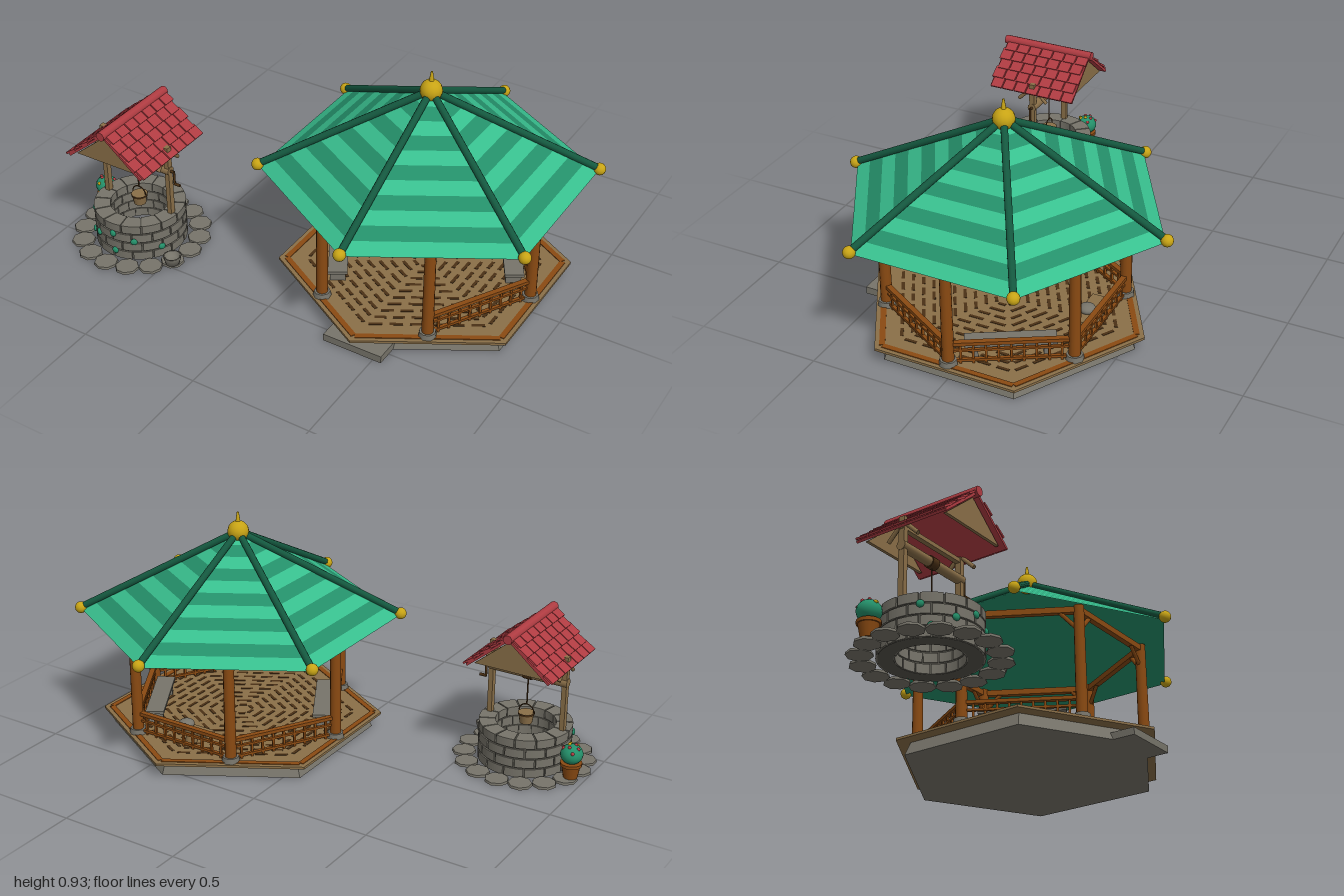
import * as THREE from 'three';

const mat = (name, color, opts = {}) => {
  const m = new THREE.MeshStandardMaterial({ color, ...opts });
  m.name = name;
  return m;
};

export function createModel() {
  const M = {
    stone: mat('stone grey', 0x77746a),
    mortar: mat('dark grey', 0x55534b),
    wood: mat('post brown', 0x8a4a12),
    tan: mat('plank tan', 0x8a6f48),
    dark: mat('dark brown', 0x4a3015),
    light: mat('light green', 0x38bf8e),
    green: mat('mid green', 0x24906a, { side: THREE.DoubleSide }),
    ridge: mat('deep green', 0x14583f),
    gold: mat('gold', 0xc8a415),
    red: mat('tile red', 0xb03c42),
  };
  const V = (x, y, z) => new THREE.Vector3(x, y, z);
  const add = (parent, name, geo, m, x = 0, y = 0, z = 0) => {
    const mesh = new THREE.Mesh(geo, m);
    mesh.name = name;
    mesh.position.set(x, y, z);
    parent.add(mesh);
    return mesh;
  };
  const group = (parent, name, x = 0, y = 0, z = 0) => {
    const g = new THREE.Group();
    g.name = name;
    g.position.set(x, y, z);
    parent.add(g);
    return g;
  };
  const box = (w, h, d) => new THREE.BoxGeometry(w, h, d);
  const cyl = (rt, rb, h, n = 16, open = false) => new THREE.CylinderGeometry(rt, rb, h, n, 1, open);
  const hex = (rt, rb, h, open) => {
    const g = cyl(rt, rb, h, 6, open).toNonIndexed();
    g.computeVertexNormals();
    return g;
  };
  const ball = (r) => new THREE.SphereGeometry(r, 16, 12);
  // round bar between two points
  const bar = (parent, name, a, b, r, m, n = 10) => {
    const d = b.clone().sub(a);
    const mesh = add(parent, name, cyl(r, r, d.length(), n), m);
    mesh.position.copy(a).add(b).multiplyScalar(0.5);
    mesh.quaternion.setFromUnitVectors(V(0, 1, 0), d.normalize());
    return mesh;
  };
  const root = new THREE.Group();
  root.name = 'gardenPavilionAndWell';

  // ---------- Pavilion ----------
  const pav = group(root, 'pavilion', 0.41);
  add(pav, 'foundation', hex(0.515, 0.54, 0.055), M.stone, 0, 0.0275);
  add(pav, 'deck', hex(0.577, 0.577, 0.01), M.tan, 0, 0.06);
  add(pav, 'frontStep', box(0.25, 0.03, 0.17), M.stone, 0, 0.015, 0.475);

  // one sector per side; local +z points outward, side 0 is the entrance
  for (let s = 0; s < 6; s++) {
    // floor inlays, parallel to the deck edges
    const floor = group(pav, 'floorSector');
    floor.rotation.y = (s + 0.5) * Math.PI / 3;
    add(floor, 'edgeBoard', box(0.54, 0.004, 0.022), M.wood, 0, 0.066, 0.472);
    for (let k = 1; k < 11; k++) {
      const a = 0.04 * k, len = 2 * a * Math.tan(Math.PI / 6);
      const n = Math.max(1, Math.round(len / 0.075));
      for (let i = 0; i < n; i++) {
        const x = ((i + 0.5) / n - 0.5) * len;
        add(floor, 'floorInlay', box(len / n * 0.66, 0.004, 0.013), M.dark, x, 0.0645, a);
      }
    }
    // bay between two posts
    const bay = group(pav, 'bay');
    bay.rotation.y = s * Math.PI / 3;
    const px = 0.23, pz = 0.398;
    add(bay, 'post', cyl(0.021, 0.023, 0.475, 12), M.wood, px, 0.3025, pz);
    add(bay, 'postFoot', cyl(0.032, 0.036, 0.022, 8), M.stone, px, 0.075, pz);
    add(bay, 'topBeam', box(0.46, 0.025, 0.024), M.wood, 0, 0.522, pz);
    for (const side of [-1, 1])
      bar(bay, 'brace', V(side * px, 0.435, pz), V(side * (px - 0.075), 0.515, pz), 0.009, M.wood, 6);
    if (s > 0) {
      add(bay, 'handRail', box(0.44, 0.014, 0.022), M.wood, 0, 0.153, pz);
      add(bay, 'middleRail', box(0.44, 0.009, 0.012), M.wood, 0, 0.122, pz);
      add(bay, 'bottomRail', box(0.44, 0.01, 0.014), M.wood, 0, 0.08, pz);
      for (let i = -4; i <= 4; i++)
        add(bay, 'baluster', box(0.009, 0.085, 0.009), M.wood, i * 0.046, 0.107, pz);
    }
    // benches on two opposite sides
    if (s === 2 || s === 5) {
      add(bay, 'benchSeat', box(0.34, 0.012, 0.075), M.stone, 0, 0.122, 0.34);
      for (const x of [-0.13, 0.13]) add(bay, 'benchLeg', box(0.02, 0.055, 0.06), M.stone, x, 0.09, 0.34);
    }
    // small pedestal seat at the back
    if (s === 3) {
      add(bay, 'pedestalSeat', box(0.19, 0.01, 0.06), M.tan, 0, 0.122, 0.35);
      add(bay, 'pedestal', cyl(0.014, 0.026, 0.055, 8), M.tan, 0, 0.092, 0.35);
      add(bay, 'stoneBowl', ball(0.032), M.stone, -0.02, 0.14, 0.35).scale.y = 0.6;
    }
    // hip ridges and corner balls
    const hip = group(pav, 'hip');
    hip.rotation.y = s * Math.PI / 3;
    bar(hip, 'hipRidge', V(0, 0.85, 0), V(0, 0.512, 0.65), 0.014, M.ridge);
    add(hip, 'cornerBall', ball(0.024), M.gold, 0, 0.51, 0.65);
  }

  // striped roof in bands, with a lining below
  const R = 0.645, eave = 0.5, rise = 0.34, bands = 11;
  for (let i = 0; i < bands; i++) {
    const r0 = R * (1 - i / bands), r1 = Math.max(R * (1 - (i + 1) / bands), 0.002), h = rise / bands;
    add(pav, 'roofBand', hex(r1, r0, h, true), i % 2 ? M.green : M.light, 0, eave + h * (i + 0.5));
  }
  add(pav, 'roofLining', hex(0.002, R - 0.001, rise - 0.008, true), M.green, 0, eave + rise / 2 - 0.005);
  add(pav, 'finialBall', ball(0.043), M.gold, 0, 0.85);
  add(pav, 'finialSpike', cyl(0.004, 0.013, 0.06, 10), M.gold, 0, 0.9);

  // ---------- Well ----------
  const well = group(root, 'well', -0.71, 0, 0.37);
  for (let i = 0; i < 16; i++) {
    const a = i * Math.PI / 8;
    add(well, 'flagstone', cyl(0.047, 0.049, 0.01, 8), M.stone, 0.24 * Math.sin(a), 0.005, 0.24 * Math.cos(a)).rotation.y = a;
  }
  const ring = [[0.125, 0], [0.18, 0], [0.18, 0.16], [0.125, 0.16], [0.125, 0]].map(p => new THREE.Vector2(...p));
  const core = new THREE.LatheGeometry(ring, 32).toNonIndexed();
  core.computeVertexNormals();
  add(well, 'wallCore', core, M.mortar);
  // staggered courses of curved bricks
  const nBrick = 14, step = Math.PI * 2 / nBrick, half = step / 2 - 0.018;
  const sector = new THREE.Shape();
  sector.absarc(0, 0, 0.186, -half, half, false);
  sector.absarc(0, 0, 0.12, half, -half, true);
  const brick = new THREE.ExtrudeGeometry(sector, { depth: 0.036, bevelEnabled: false, curveSegments: 4 });
  brick.rotateX(-Math.PI / 2);
  for (let k = 0; k < 4; k++)
    for (let i = 0; i < nBrick; i++)
      add(well, 'brick', brick, M.stone, 0, 0.001 + k * 0.042, 0).rotation.y = (i + (k % 2) / 2) * step;
  // leaves on the wall: angle from the front, height
  for (const [a, y] of [[-0.45, 0.08], [0.02, 0.115], [0.05, 0.035], [1.1, 0.05], [0.5, 0.09], [-1.1, 0.12], [-0.9, 0.04]]) {
    const leaf = add(well, 'leaf', ball(0.014), M.green, 0.188 * Math.sin(a), y, 0.188 * Math.cos(a));
    leaf.scale.z = 0.6;
    leaf.rotation.y = a;
  }

  // frame, windlass and crank
  for (const s of [-1, 1]) {
    add(well, 'wellPost', box(0.02, 0.32, 0.024), M.tan, s * 0.158, 0.315);
    for (const t of [-1, 1])
      bar(well, 'wellBrace', V(s * 0.158, 0.46, 0), V(s * 0.158, 0.395, t * 0.065), 0.008, M.tan, 6);
  }
  add(well, 'tieBeam', box(0.34, 0.016, 0.02), M.tan, 0, 0.435);
  bar(well, 'windlass', V(-0.17, 0.365, 0), V(0.17, 0.365, 0), 0.019, M.tan, 12);
  bar(well, 'ropeCoil', V(-0.018, 0.365, 0), V(0.018, 0.365, 0), 0.023, M.dark, 12);
  bar(well, 'crankAxle', V(0.17, 0.365, 0), V(0.185, 0.365, 0), 0.006, M.dark);
  bar(well, 'crankArm', V(0.185, 0.368, 0), V(0.185, 0.31, 0), 0.005, M.dark);
  bar(well, 'crankHandle', V(0.183, 0.31, 0), V(0.212, 0.31, 0), 0.006, M.dark);
  bar(well, 'rope', V(0, 0.36, 0), V(0, 0.23, 0), 0.003, M.dark, 6);
  add(well, 'pail', cyl(0.032, 0.025, 0.045), M.tan, 0, 0.175);
  add(well, 'pailBand', cyl(0.034, 0.033, 0.008), M.dark, 0, 0.193);
  add(well, 'pailHandle', new THREE.TorusGeometry(0.032, 0.0025, 6, 16, Math.PI), M.dark, 0, 0.2);

  // tiled roof: slab plus overlapping rows on each slope
  const roof = group(well, 'wellRoof', 0, 0.578, 0);
  for (const turn of [0, Math.PI]) {
    const side = group(roof, 'slopeSide');
    side.rotation.y = turn;
    const slope = group(side, 'slope');
    slope.rotation.z = -0.69;
    add(slope, 'roofSlab', box(0.226, 0.01, 0.39), M.red, 0.113, 0, 0);
    for (let r = 0; r < 5; r++)
      for (let i = 0; i < 7; i++) {
        const z = (i - 3) * 0.056 + (r % 2 ? 0.005 : -0.005);
        add(slope, 'roofTile', box(0.054, 0.008, 0.051), M.red, 0.026 + r * 0.045, 0.009, z).rotation.z = 0.1;
      }
  }
  bar(roof, 'ridgeCap', V(0, 0.003, -0.205), V(0, 0.003, 0.205), 0.019, M.red, 10);
  const tri = new THREE.Shape([[-0.15, 0], [0.15, 0], [0, 0.125]].map(p => new THREE.Vector2(...p)));
  const gable = new THREE.ExtrudeGeometry(tri, { depth: 0.012, bevelEnabled: false });
  for (const z of [-0.176, 0.164]) add(well, 'gable', gable, M.tan, 0, 0.44, z);

  // ---------- Flower pot and stone basin ----------
  const pot = group(root, 'flowerPot', -0.946, 0.01, 0.295);
  add(pot, 'potBody', cyl(0.038, 0.028, 0.055), M.wood, 0, 0.0275);
  add(pot, 'potRim', cyl(0.043, 0.043, 0.013), M.wood, 0, 0.058);
  add(pot, 'bush', ball(0.045), M.green, 0, 0.1).scale.y = 0.9;
  for (let i = 0; i < 9; i++) {
    const a = i * 2.4, t = 0.25 + i * 0.12;
    add(pot, 'blossom', ball(0.007), i % 3 ? M.red : M.gold,
      0.044 * Math.sin(t) * Math.cos(a), 0.1 + 0.04 * Math.cos(t), 0.044 * Math.sin(t) * Math.sin(a));
  }
  const basin = group(root, 'stoneBasin', -0.475, 0.01, 0.48);
  const bowl = [[0, 0], [0.028, 0], [0.037, 0.034], [0.03, 0.034], [0.024, 0.012], [0, 0.012]].map(p => new THREE.Vector2(...p));
  add(basin, 'basinBowl', new THREE.LatheGeometry(bowl, 16), M.stone);

  return root;
}
